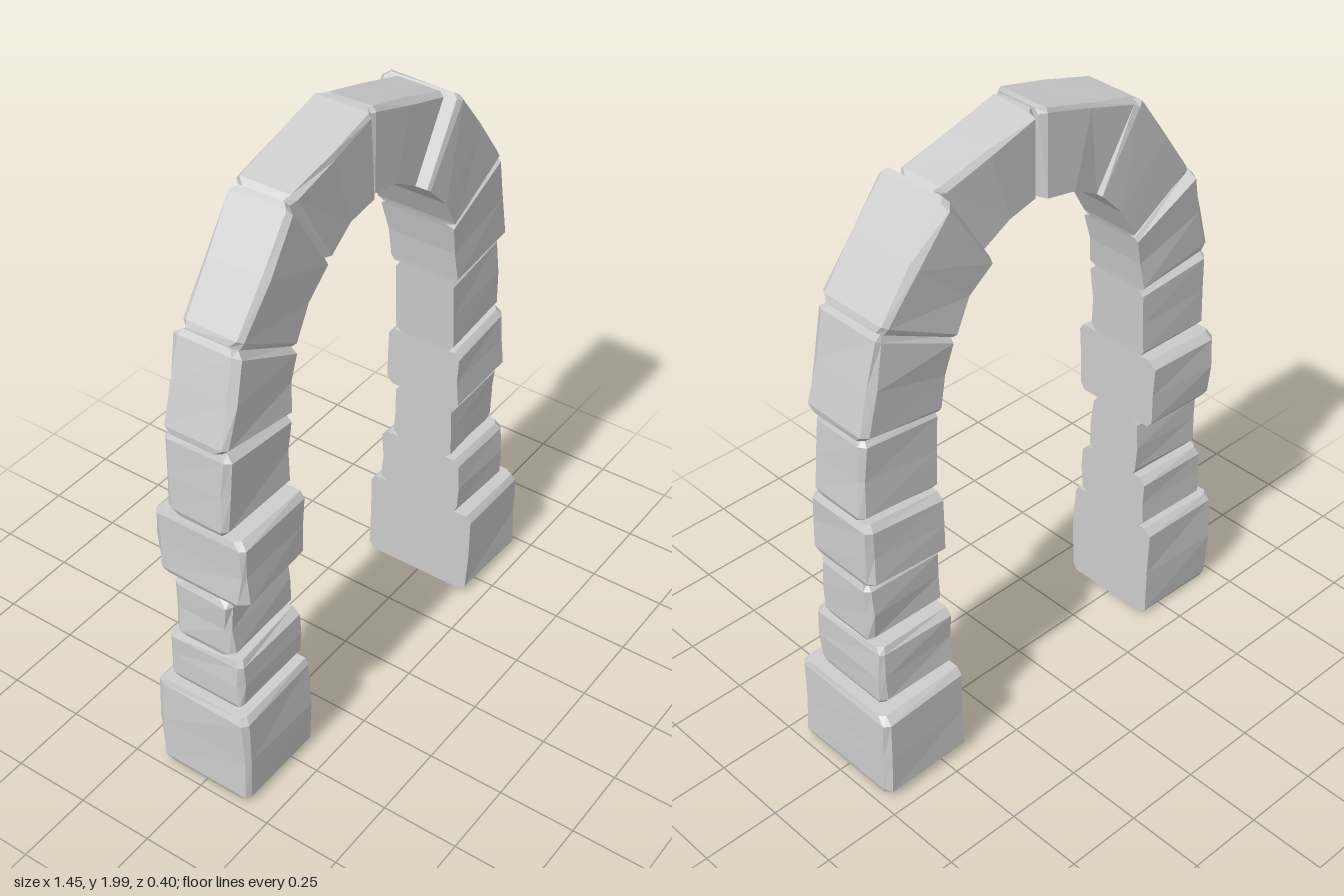
import * as THREE from 'three';

// small seeded noise in -1..1
let seed = 7;
const noise = () => {
  seed = (seed * 16807) % 2147483647;
  return (seed / 2147483647) * 2 - 1;
};

const material = new THREE.MeshStandardMaterial({ color: 0xcccccc, flatShading: true });

// One hewn stone between two joints. A joint is [outerX, outerY, innerX, innerY].
// depth: half thickness in z, push: extra outward size, bow: curve of the inner face.
function stone(name, a, b, depth, push = 0, bow = 0) {
  const length = Math.hypot(b[0] - a[0], b[1] - a[1]);
  const bevel = 0.022, c = 0.016;
  const steps = [0, bevel / length, 0.5, 1 - bevel / length, 1];
  const rings = steps.map((t, k) => {
    const end = k === 0 || k === 4;
    const j = a.map((v, i) => v + (b[i] - v) * t);
    const dx = j[0] - j[2], dy = j[1] - j[3], w = Math.hypot(dx, dy);
    const ux = dx / w, uy = dy / w;
    const d = depth - (end ? 0.018 : 0);
    const outer = w + push - (end ? 0.012 : 0);
    const inner = bow * 4 * t * (1 - t);
    const section = [
      [outer - c, -d], [outer, c - d], [outer, d - c], [outer - c, d], [inner, d], [inner, -d],
    ];
    return section.map(([u, z], i) => {
      const r = i < 4 && !end ? u - Math.abs(noise()) * 0.008 : u;
      return new THREE.Vector3(j[2] + ux * r, j[3] + uy * r, z + noise() * 0.007);
    });
  });

  const points = [];
  const n = rings[0].length;
  for (let k = 0; k < rings.length - 1; k++) {
    for (let i = 0; i < n; i++) {
      const m = (i + 1) % n;
      const p = rings[k][i], q = rings[k][m], r = rings[k + 1][m], s = rings[k + 1][i];
      points.push(p, q, r, p, r, s);
    }
  }
  // end faces
  const first = rings[0], last = rings[rings.length - 1];
  for (let i = 1; i < n - 1; i++) {
    points.push(first[0], first[i + 1], first[i], last[0], last[i], last[i + 1]);
  }
  const geometry = new THREE.BufferGeometry().setFromPoints(points);
  geometry.computeVertexNormals();
  const mesh = new THREE.Mesh(geometry, material);
  mesh.name = name;
  return mesh;
}

export function createModel() {
  const arch = new THREE.Group();
  arch.name = 'stoneArch';

  // joints from the foot at -x, over the crown, to the foot at +x
  const joints = [
    [-0.70, 0, -0.42, 0],
    [-0.70, 0.35, -0.42, 0.36],
    [-0.70, 0.54, -0.42, 0.55],
    [-0.70, 0.76, -0.42, 0.765],
    [-0.70, 1.00, -0.42, 1.01],
    [-0.69, 1.28, -0.41, 1.25],
    [-0.61, 1.58, -0.37, 1.45],
    [-0.37, 1.90, -0.22, 1.65],
    [0.005, 2.00, 0.005, 1.73],
    [0.37, 1.89, 0.22, 1.65],
    [0.61, 1.58, 0.36, 1.46],
    [0.68, 1.26, 0.405, 1.23],
    [0.695, 0.985, 0.42, 0.96],
    [0.695, 0.76, 0.42, 0.745],
    [0.69, 0.54, 0.42, 0.54],
    [0.69, 0.32, 0.42, 0.33],
    [0.69, 0.005, 0.42, 0.005],
  ];

  // name, half depth, outward push, bow of inner face
  const stones = [
    ['rightFoot', 0.168, 0.03],
    ['rightPillarStone1', 0.135],
    ['rightPillarStone2', 0.1],
    ['rightPillarStone3', 0.157],
    ['rightPillarStone4', 0.108],
    ['rightSpringer', 0.108, 0.01, 0.005],
    ['rightVoussoir', 0.102, 0.005, 0.018],
    ['rightCrownStone', 0.1, 0.005, 0.022],
    ['leftCrownStone', 0.085, 0, 0.022],
    ['leftVoussoir', 0.134, 0.008, 0.018],
    ['leftSpringer', 0.122, 0.01, 0.005],
    ['leftPillarStone4', 0.106],
    ['leftPillarStone3', 0.13],
    ['leftPillarStone2', 0.108],
    ['leftPillarStone1', 0.15],
    ['leftFoot', 0.195, 0.038],
  ];

  stones.forEach(([name, depth, push, bow], i) => {
    arch.add(stone(name, joints[i], joints[i + 1], depth, push, bow));
  });
  return arch;
}
